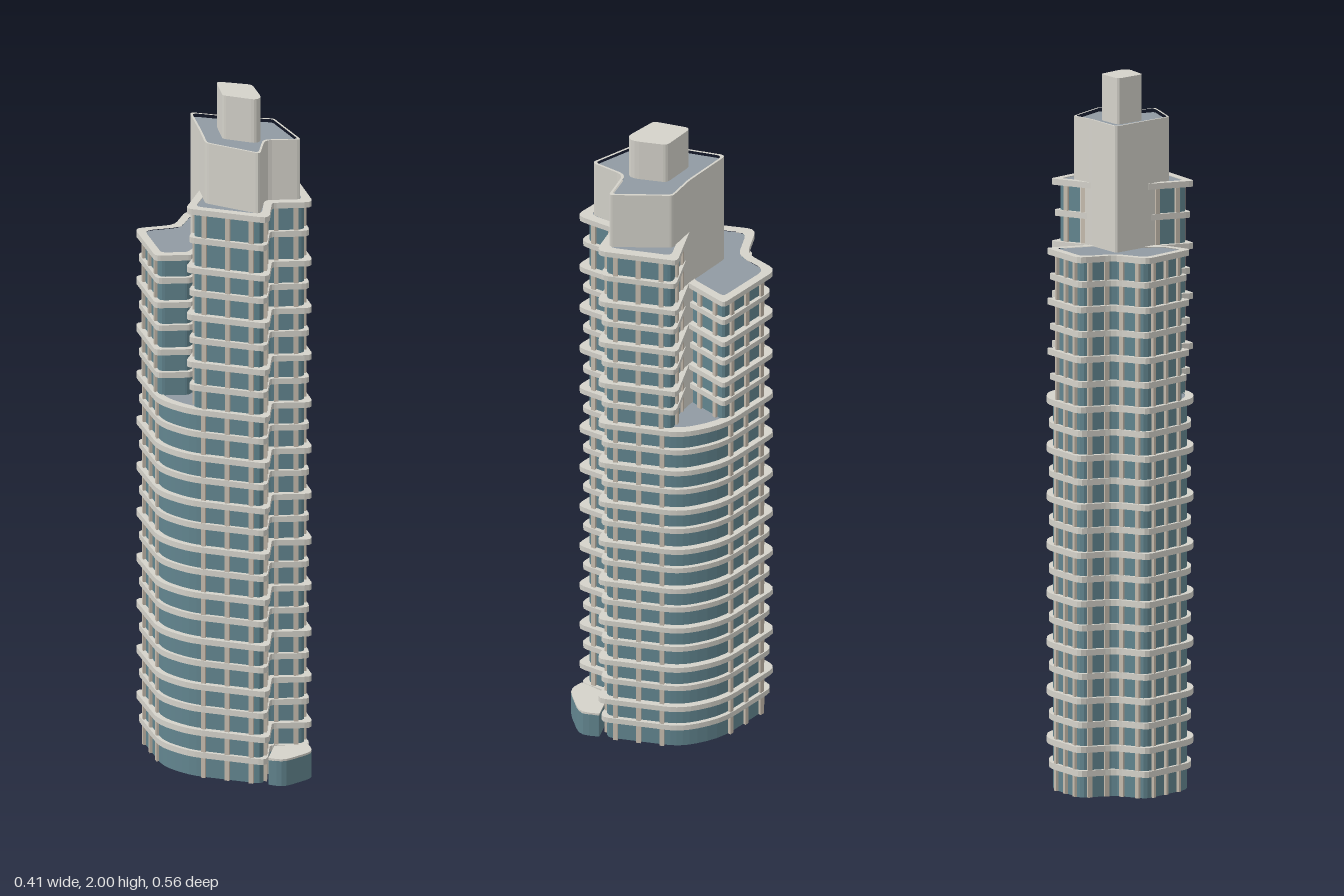
import * as THREE from 'three';
import { mergeGeometries } from 'three/addons/utils/BufferGeometryUtils.js';

const mat = (name, color, side = THREE.FrontSide) => {
  const m = new THREE.MeshStandardMaterial({ color, side });
  m.name = name;
  return m;
};

// Plan corners as [x, z, optional rounding]; all run the same way round
const LOWER = [[-0.117, -0.279], [-0.013, -0.228], [0.08, -0.289], [0.193, -0.117, 0.045], [0.208, -0.02, 0.045],
  [0.2, 0.035], [0.105, 0.235], [0.012, 0.165, 0.012], [-0.07, 0.25], [-0.194, 0.05, 0.038], [-0.208, -0.03, 0.038], [-0.204, -0.08]];
const BACK = [[-0.117, -0.279], [-0.013, -0.228], [0.08, -0.289], [0.197, -0.11, 0.015], [0.08, -0.035, 0.004],
  [-0.08, -0.035, 0.004], [-0.125, -0.018, 0.01], [-0.208, -0.08, 0.015]];
const FRONT = [[-0.07, 0.25], [-0.2, 0.042, 0.018], [-0.08, -0.04, 0.004], [0.08, -0.04, 0.004], [0.205, 0.025, 0.015],
  [0.105, 0.235], [0.012, 0.165, 0.012]].slice().reverse();
const CORE = [[-0.01, -0.168, 0.018], [0.08, -0.04, 0.01], [0.139, 0.022, 0.01], [0.093, 0.196, 0.012],
  [0.012, 0.134, 0.02], [-0.066, 0.206, 0.014], [-0.129, 0.043, 0.012], [-0.08, -0.04, 0.01]];
const SPIRE = [[0, -0.064, 0.018], [0.061, 0.02, 0.012], [0.018, 0.113, 0.022], [-0.006, 0.116, 0.014], [-0.055, 0.03, 0.01]];
const PORCH = [[-0.06, 0.235, 0.003], [0.012, 0.175, 0.003], [0.094, 0.222, 0.003], [0.072, 0.275, 0.028], [-0.038, 0.276, 0.028]].reverse();

// Moves every edge of a plan inward by d
function inset(pts, d) {
  const n = pts.length;
  const normal = (a, b) => {
    const l = Math.hypot(b[0] - a[0], b[1] - a[1]);
    return [-(b[1] - a[1]) / l, (b[0] - a[0]) / l];
  };
  const area = pts.reduce((s, p, i) => s + p[0] * pts[(i + 1) % n][1] - pts[(i + 1) % n][0] * p[1], 0);
  const k = d * Math.sign(area);
  return pts.map((p, i) => {
    const a = normal(pts[(i + n - 1) % n], p), b = normal(p, pts[(i + 1) % n]);
    const s = k / (1 + a[0] * b[0] + a[1] * b[1]);
    return [p[0] + (a[0] + b[0]) * s, p[1] + (a[1] + b[1]) * s, p[2]];
  });
}

// Rounded outline of a plan as 2D points (shape y is -z)
function outline(plan, d = 0) {
  const pts = inset(plan, d), n = pts.length, out = [];
  pts.forEach((p, i) => {
    const towards = (q) => {
      const l = Math.hypot(q[0] - p[0], q[1] - p[1]);
      const t = Math.min(p[2] ?? 0.026, l * 0.48) / l;
      return new THREE.Vector2(p[0] + (q[0] - p[0]) * t, -p[1] - (q[1] - p[1]) * t);
    };
    const curve = new THREE.QuadraticBezierCurve(
      towards(pts[(i + n - 1) % n]), new THREE.Vector2(p[0], -p[1]), towards(pts[(i + 1) % n]));
    out.push(...curve.getPoints(3));
  });
  return out;
}

// Upright prism, with an optional hole
function prism(points, y0, y1, hole) {
  const shape = new THREE.Shape(points);
  if (hole) shape.holes.push(new THREE.Path(hole));
  return new THREE.ExtrudeGeometry(shape, { depth: y1 - y0, bevelEnabled: false })
    .rotateX(-Math.PI / 2).translate(0, y0, 0);
}

// Only the side walls of a prism
function walls(points, y0, y1) {
  const g = prism(points, y0, y1), side = g.groups[1], out = new THREE.BufferGeometry();
  for (const key of ['position', 'normal', 'uv']) {
    const a = g.attributes[key], s = a.itemSize;
    out.setAttribute(key, new THREE.BufferAttribute(
      a.array.slice(side.start * s, (side.start + side.count) * s), s));
  }
  return out;
}

// Vertical strips along the long straight edges
function mullionStrips(plan, y0, y1) {
  const pts = inset(plan, GLASS_INSET), strips = [];
  pts.forEach((a, i) => {
    const b = pts[(i + 1) % pts.length];
    const dx = b[0] - a[0], dz = b[1] - a[1], len = Math.hypot(dx, dz);
    if (len < 0.1) return;
    const count = Math.max(2, Math.round(len / 0.07));
    for (let k = 0; k < count; k++) {
      const t = (k + 0.5) / count;
      strips.push(new THREE.BoxGeometry(0.013, y1 - y0, 0.016)
        .rotateY(-Math.atan2(dz, dx))
        .translate(a[0] + dx * t, (y0 + y1) / 2, a[1] + dz * t));
    }
  });
  return mergeGeometries(strips);
}

const GLASS_INSET = 0.017;
const SLAB = 0.017;

export function createModel() {
  const tower = new THREE.Group();
  tower.name = 'tower';
  const glass = mat('blue glass', 0x62858f, THREE.DoubleSide);
  const stone = mat('pale stone', 0xd4d2ca);
  const strip = mat('warm strip', 0xc6bcae);
  const roofing = mat('grey roofing', 0x909aa2);
  const add = (parent, name, geometry, material) => {
    const mesh = new THREE.Mesh(geometry, material);
    mesh.name = name;
    parent.add(mesh);
  };

  // Floor levels
  const levels = [0];
  for (let i = 1; i <= 16; i++) levels.push(i * 0.0684);
  for (let i = 1; i <= 6; i++) levels.push(1.0944 + i * 0.0705);
  levels.push(1.605, 1.693);

  // Glazed masses with floor bands, strips and a flat roof
  function mass(name, plan, from, to) {
    const group = new THREE.Group();
    group.name = name;
    tower.add(group);
    const y0 = levels[from], y1 = levels[to], inner = outline(plan, GLASS_INSET);
    add(group, 'glassWalls', walls(inner, y0, y1), glass);
    add(group, 'mullions', mullionStrips(plan, y0, y1), strip);
    const bands = [];
    for (let f = from + 1; f <= to; f++) {
      const edge = outline(plan, f % 2 ? 0.006 : 0);
      const hole = f === to ? outline(plan, 0.023) : inner;
      bands.push(prism(edge, levels[f] - SLAB / 2, levels[f] + SLAB / 2, hole));
    }
    add(group, 'floorBands', mergeGeometries(bands), stone);
    add(group, 'roof', prism(outline(plan, 0.0225), y1 - 0.004, y1 + SLAB / 2 - 0.002), roofing);
  }
  mass('lowerMass', LOWER, 0, 16);
  mass('backMass', BACK, 16, 22);
  mass('frontMass', FRONT, 16, 24);

  // Solid core with a thin parapet
  add(tower, 'coreWalls', prism(outline(CORE), 1.1, 1.88, outline(CORE, 0.006)), stone);
  add(tower, 'coreRoof', prism(outline(CORE, 0.0055), 1.86, 1.87), roofing);
  add(tower, 'spire', prism(outline(SPIRE), 1.865, 2), stone);

  // Entrance porch
  add(tower, 'porchWalls', walls(outline(PORCH), 0, 0.074), glass);
  add(tower, 'porchRoof', prism(outline(PORCH), 0.073, 0.08), stone);

  return tower;
}
